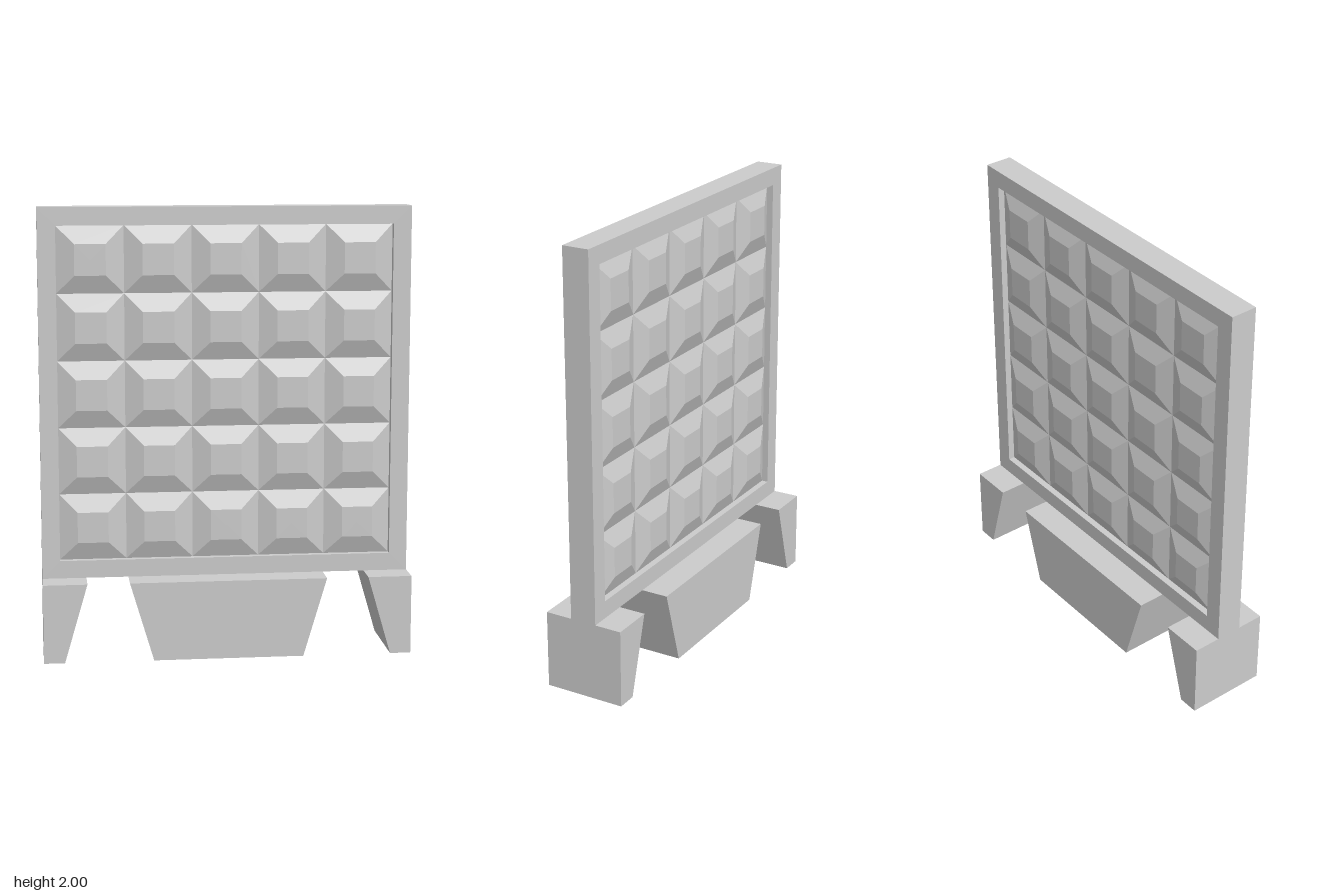
import * as THREE from 'three';

const material = new THREE.MeshStandardMaterial({ color: 0xcccccc, flatShading: true });

// Extrude a shape along z, centred on z = 0
function slab(name, shape, depth) {
  const geometry = new THREE.ExtrudeGeometry(shape, { depth, bevelEnabled: false });
  geometry.translate(0, 0, -depth / 2);
  const mesh = new THREE.Mesh(geometry, material);
  mesh.name = name;
  return mesh;
}

const polygon = (points) => new THREE.Shape(points.map(([x, y]) => new THREE.Vector2(x, y)));

export function createModel() {
  const group = new THREE.Group();
  group.name = 'barrierPanel';

  const halfWidth = 0.823, footTop = 0.355, top = 2;
  const inner = 0.743, innerBottom = 0.434, frameDepth = 0.122, footDepth = 0.37;

  // Border frame with a square opening
  const border = polygon([[-halfWidth, footTop], [halfWidth, footTop], [halfWidth, top], [-halfWidth, top]]);
  border.holes.push(polygon([
    [-inner, innerBottom], [-inner, innerBottom + 2 * inner],
    [inner, innerBottom + 2 * inner], [inner, innerBottom],
  ]));
  group.add(slab('frame', border, frameDepth));

  // Truncated pyramids, five by five, filling the opening on both faces
  const count = 5, cell = (2 * inner) / count, bevel = 0.08, rise = 0.03, recess = 0.03;
  const stud = new THREE.CylinderGeometry(
    (cell / 2 - bevel) * Math.SQRT2, (cell / 2) * Math.SQRT2, rise, 4, 1);
  stud.rotateY(Math.PI / 4);
  stud.rotateX(Math.PI / 2);
  stud.translate(0, 0, frameDepth / 2 - recess + rise / 2);
  for (const side of ['front', 'back']) {
    const panel = new THREE.Group();
    panel.name = side + 'StudPanel';
    for (let row = 0; row < count; row++) {
      for (let col = 0; col < count; col++) {
        const mesh = new THREE.Mesh(stud, material);
        mesh.name = 'pyramidStud';
        mesh.position.set(-inner + (col + 0.5) * cell, innerBottom + (row + 0.5) * cell, 0);
        panel.add(mesh);
      }
    }
    if (side === 'back') panel.rotation.y = Math.PI;
    group.add(panel);
  }

  // Tapered centre foot
  group.add(slab('centreFoot',
    polygon([[-0.335, 0], [0.335, 0], [0.44, footTop], [-0.44, footTop]]), footDepth));

  // Corner feet, vertical outside and sloped inside
  for (const s of [1, -1]) {
    group.add(slab(s > 0 ? 'leftFoot' : 'rightFoot', polygon([
      [s * 0.73, 0], [s * halfWidth, 0], [s * halfWidth, footTop], [s * 0.627, footTop],
    ]), footDepth));
  }

  return group;
}
